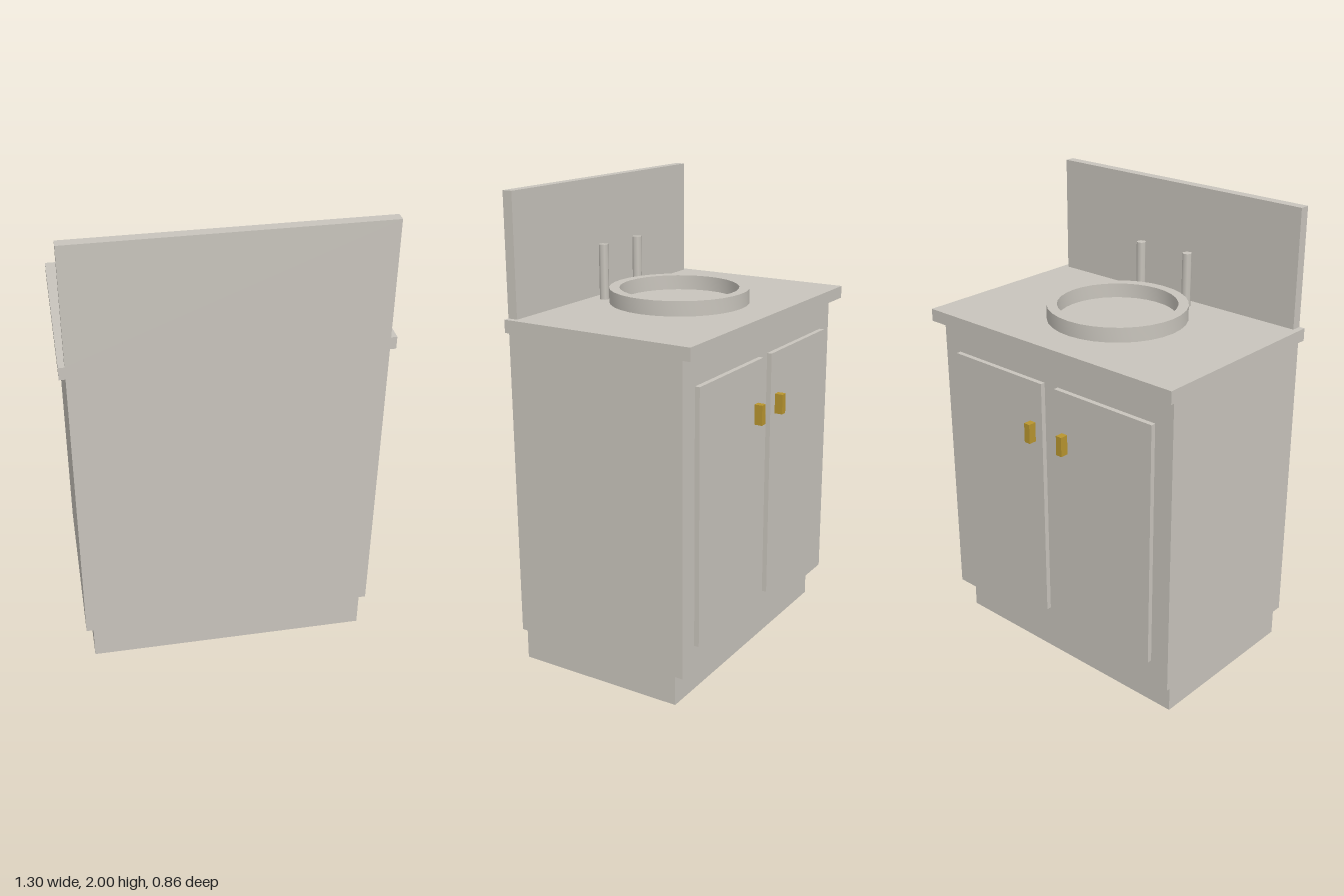
import * as THREE from 'three';
import { toCreasedNormals } from 'three/addons/utils/BufferGeometryUtils.js';

export function createModel() {
  const model = new THREE.Group();
  const body = new THREE.MeshStandardMaterial({ color: 0xc8c4bc, side: THREE.DoubleSide });
  body.name = 'warmGrey';
  const brass = new THREE.MeshStandardMaterial({ color: 0xb8952f });
  brass.name = 'brass';

  const add = (name, geometry, material = body) => {
    const mesh = new THREE.Mesh(geometry, material);
    mesh.name = name;
    model.add(mesh);
    return mesh;
  };

  // Box given by its extents; openBottom drops the lower face
  const box = (name, [x0, x1], [y0, y1], [z0, z1], material = body, openBottom = false) => {
    const g = new THREE.BoxGeometry(x1 - x0, y1 - y0, z1 - z0);
    if (openBottom) {
      const index = Array.from(g.index.array);
      index.splice(18, 6);
      g.setIndex(index);
      g.clearGroups();
    }
    g.translate((x0 + x1) / 2, (y0 + y1) / 2, (z0 + z1) / 2);
    return add(name, g, material);
  };

  const back = 0.428;

  // Carcass: hollow plinth and cabinet, both open underneath
  box('plinth', [-0.595, 0.595], [0, 0.147], [-0.318, back], body, true);
  box('cabinet', [-0.625, 0.625], [0.147, 1.45], [-0.372, back], body, true);
  box('countertop', [-0.65, 0.65], [1.45, 1.503], [-0.42, back]);
  box('backsplash', [-0.625, 0.625], [1.503, 2], [0.385, back]);

  // Basin rim: a flat-topped ring standing on the counter
  const profile = [[0.25, 0], [0.25, 0.062], [0.293, 0.062], [0.293, 0]]
    .map(([r, y]) => new THREE.Vector2(r, y));
  const rim = add('basinRim', toCreasedNormals(new THREE.LatheGeometry(profile.reverse(), 32), 0.6));
  rim.position.set(0, 1.503, 0.026);

  // Mirrored doors, handles and taps
  for (const s of [-1, 1]) {
    const side = s > 0 ? 'left' : 'right';
    const span = (a, b) => (s > 0 ? [a, b] : [-b, -a]);
    box(side + 'Door', span(0.036, 0.538), [0.255, 1.325], [-0.393, -0.372]);
    box(side + 'Handle', span(0.075, 0.104), [1.06, 1.145], [-0.428, -0.393], brass);
    const tap = add(side + 'Tap', new THREE.CylinderGeometry(0.02, 0.02, 0.232, 8));
    tap.position.set(s * 0.125, 1.619, 0.32);
  }

  return model;
}
